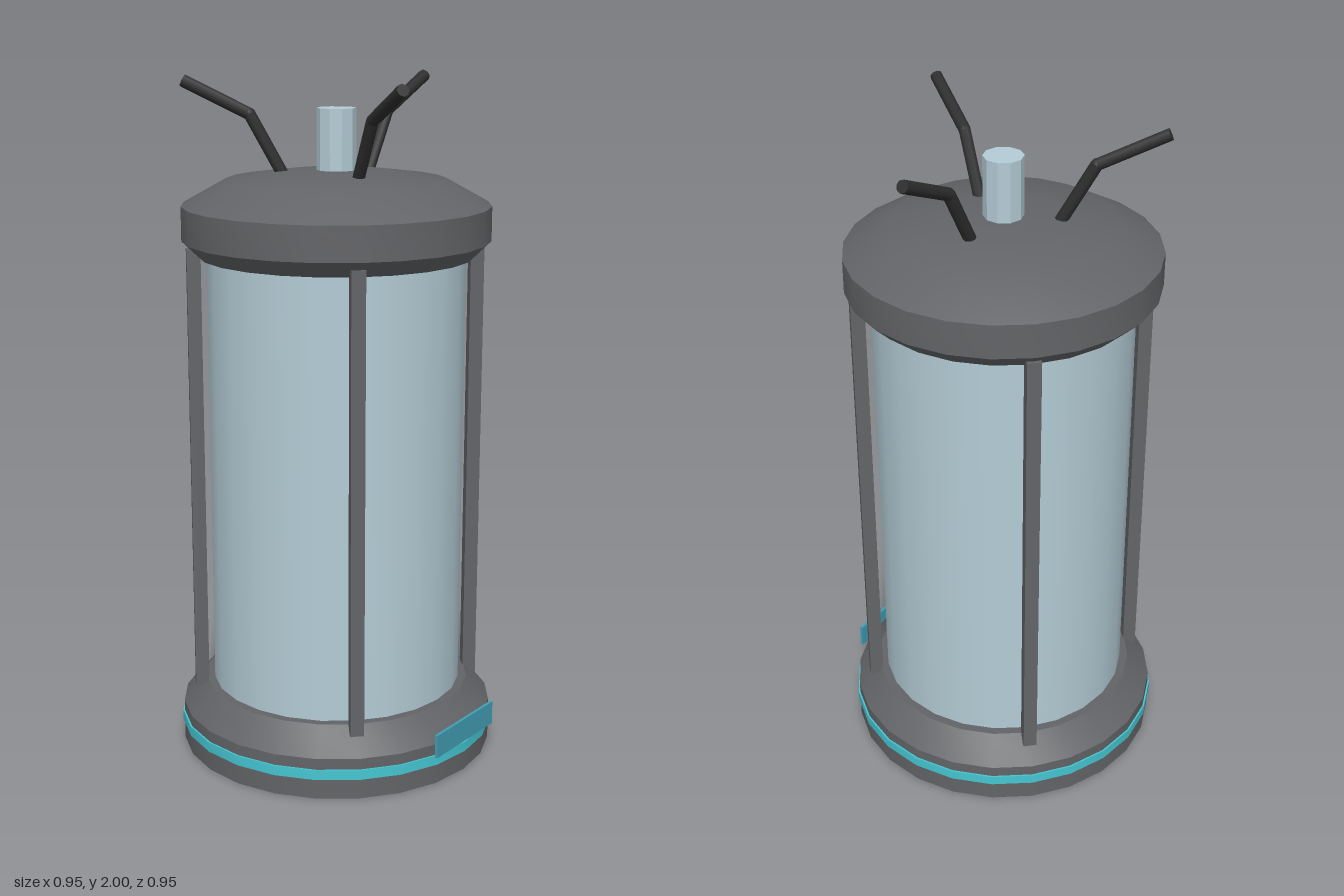
import * as THREE from 'three';
import { toCreasedNormals } from 'three/addons/utils/BufferGeometryUtils.js';

const material = (name, color) => {
  const m = new THREE.MeshStandardMaterial({ color });
  m.name = name;
  return m;
};

export function createModel() {
  const model = new THREE.Group();
  model.name = 'canister';

  const metal = material('grey metal', 0x636467);
  const glass = material('pale blue glass', 0xb4ccd6);
  const dark = material('black metal', 0x2e2e2e);
  const cyan = material('cyan band', 0x45c6d2);
  const teal = material('teal plate', 0x419db4);

  const add = (name, geometry, mat, parent = model) => {
    const mesh = new THREE.Mesh(geometry, mat);
    mesh.name = name;
    parent.add(mesh);
    return mesh;
  };

  // Turned shape from [radius, height] pairs, bottom to top, with crisp bevels
  const turned = (profile) => toCreasedNormals(
    new THREE.LatheGeometry(profile.map(([r, y]) => new THREE.Vector2(r, y)), 24), 0.52);

  // Base and cap
  add('base', turned([[0, 0], [0.47, 0], [0.47, 0.123], [0.4, 0.197], [0, 0.197]]), metal);
  add('cap', turned([[0, 1.492], [0.4, 1.492], [0.447, 1.538], [0.447, 1.637],
    [0.32, 1.708], [0.16, 1.73], [0, 1.738]]), metal);

  // Band around the base and the plate on its front
  add('baseBand', turned([[0.465, 0.06], [0.475, 0.06], [0.475, 0.09], [0.465, 0.09]]), cyan);
  add('frontPlate', new THREE.BoxGeometry(0.295, 0.07, 0.009), teal).position.set(0, 0.13, 0.4715);

  // Glass body
  const body = new THREE.CylinderGeometry(0.375, 0.375, 1.32, 24, 1, true);
  add('glassBody', body, glass).position.y = 0.845;

  // Four guard posts on the diagonals
  for (let i = 0; i < 4; i++) {
    const a = Math.PI / 4 + i * Math.PI / 2;
    const post = add('guardPost', new THREE.BoxGeometry(0.04, 1.34, 0.04), metal);
    post.position.set(0.414 * Math.cos(a), 0.845, 0.414 * Math.sin(a));
    post.rotation.y = -a;
  }

  // Central stub on the cap
  const stub = toCreasedNormals(new THREE.CylinderGeometry(0.057, 0.057, 0.21, 10), 0.5);
  add('topStub', stub, glass).position.y = 1.805;

  // Three bent prongs, each two rods joined at an elbow
  const rod = (from, to, parent) => {
    const dir = to.clone().sub(from);
    const mesh = add('prongRod', new THREE.CylinderGeometry(0.018, 0.018, dir.length(), 8), dark, parent);
    mesh.position.copy(from).addScaledVector(dir, 0.5);
    mesh.quaternion.setFromUnitVectors(new THREE.Vector3(0, 1, 0), dir.normalize());
  };
  const root = new THREE.Vector3(0.152, 1.715, 0);
  const elbow = new THREE.Vector3(0.25, 1.89, 0);
  const tip = new THREE.Vector3(0.443, 1.983, 0);
  for (let i = 0; i < 3; i++) {
    const prong = new THREE.Group();
    prong.name = 'prong';
    rod(root, elbow, prong);
    rod(elbow, tip, prong);
    add('prongElbow', new THREE.SphereGeometry(0.018, 8, 6), dark, prong).position.copy(elbow);
    prong.rotation.y = i * Math.PI * 2 / 3;
    model.add(prong);
  }

  return model;
}
